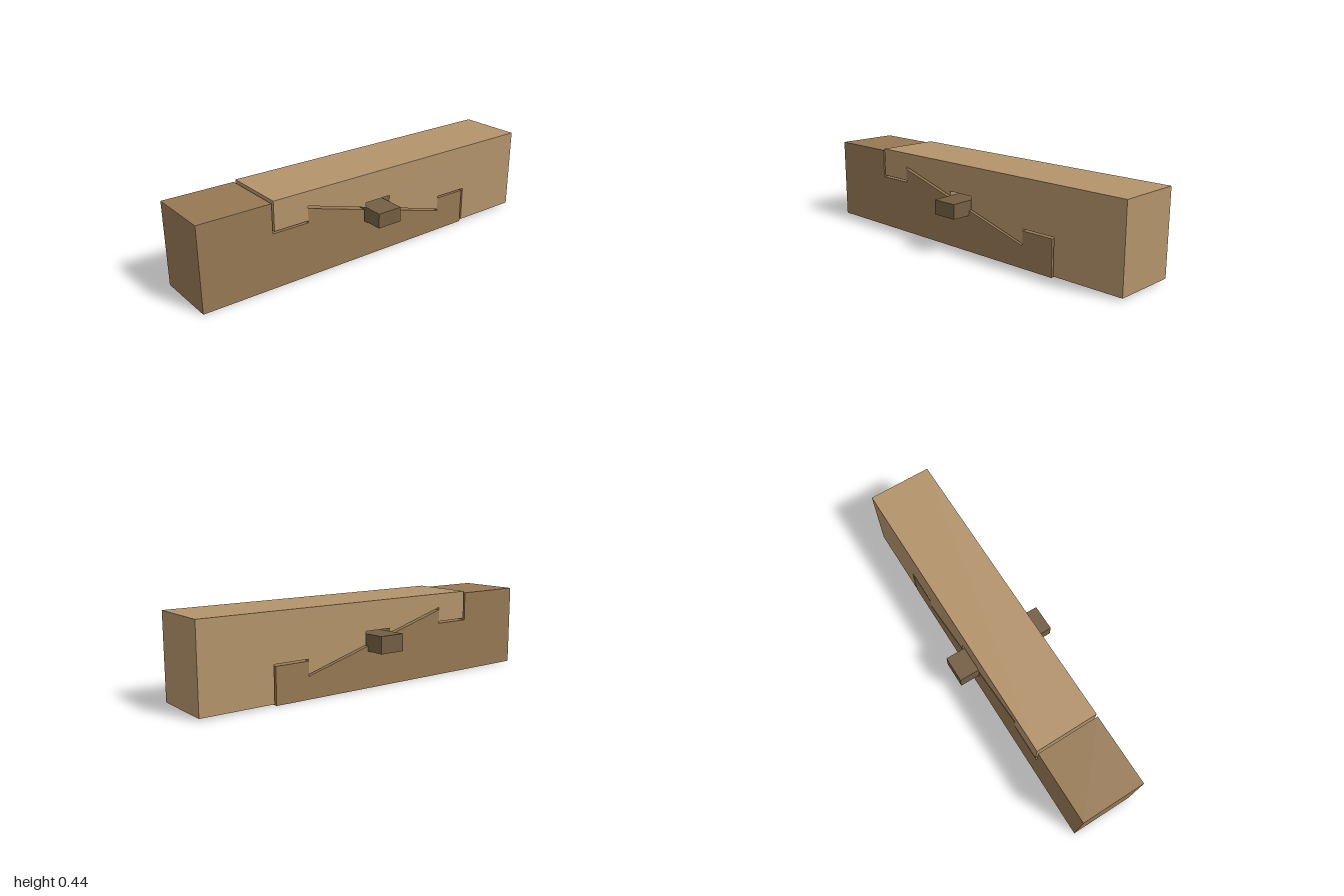
import * as THREE from 'three';

const HALF_DEPTH = 0.17;

// Extrudes an x-y outline through the full thickness of the timber
function beam(name, color, outline) {
  const shape = new THREE.Shape(outline.map(([x, y]) => new THREE.Vector2(x, y)));
  const geometry = new THREE.ExtrudeGeometry(shape, { depth: 2 * HALF_DEPTH, bevelEnabled: false });
  geometry.translate(0, 0, -HALF_DEPTH);
  const mesh = new THREE.Mesh(geometry, new THREE.MeshStandardMaterial({ color }));
  mesh.name = name;
  return mesh;
}

export function createModel() {
  const model = new THREE.Group();
  model.name = 'hookedScarfJoint';

  // Lower beam: stepped hook at each end, sloped scarf face, key notch
  model.add(beam('lowerBeam', 0x967853, [
    [-1, 0], [0.608, 0], [0.608, 0.188], [0.426, 0.188], [0.426, 0.114],
    [0.065, 0.217], [0.065, 0.19], [-0.082, 0.19], [-0.082, 0.259],
    [-0.424, 0.358], [-0.424, 0.284], [-0.622, 0.284], [-0.622, 0.435], [-1, 0.435],
  ]));

  // Upper beam: matching profile with a narrow gap
  model.add(beam('upperBeam', 0xb3936b, [
    [1, 0.445], [-0.612, 0.445], [-0.612, 0.294], [-0.424, 0.294], [-0.424, 0.371],
    [-0.074, 0.269], [-0.074, 0.294], [0.079, 0.294], [0.079, 0.225],
    [0.426, 0.124], [0.426, 0.198], [0.618, 0.198], [0.618, 0.01], [1, 0.01],
  ]));

  // Locking key: a bar whose top tapers from back to front
  const keyGeometry = new THREE.BoxGeometry(0.14, 0.09, 0.55);
  const p = keyGeometry.attributes.position;
  for (let i = 0; i < p.count; i++) {
    const top = p.getZ(i) > 0 ? 0.268 : 0.281;
    p.setY(i, p.getY(i) > 0 ? top : 0.191);
  }
  keyGeometry.translate(-0.005, 0, 0);
  keyGeometry.computeVertexNormals();
  const key = new THREE.Mesh(keyGeometry, new THREE.MeshStandardMaterial({ color: 0x745e43 }));
  key.name = 'lockingKey';
  model.add(key);

  return model;
}
